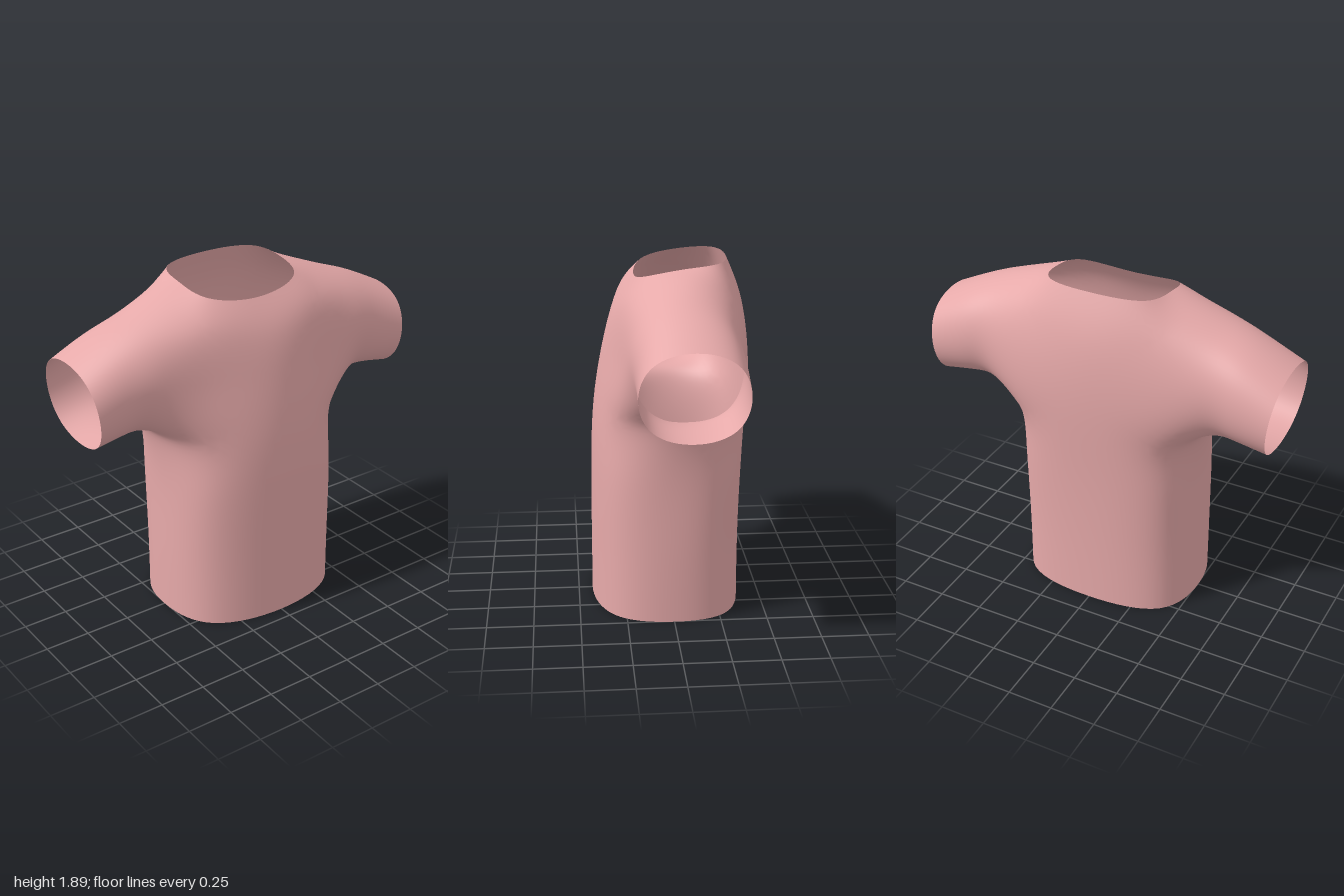
import * as THREE from 'three';

const V = (x, y, z) => new THREE.Vector3(x, y, z);

// One step of Catmull-Clark subdivision; the old vertices keep their indices.
function subdivide({ verts, faces }) {
  const n = verts.length, edges = new Map();
  const info = verts.map(() => ({ f: V(0, 0, 0), nf: 0, e: V(0, 0, 0), ne: 0, rim: V(0, 0, 0), nr: 0 }));
  const centres = faces.map(({ q }) => {
    const c = V(0, 0, 0);
    q.forEach(i => c.addScaledVector(verts[i], 0.25));
    q.forEach((a, k) => {
      const b = q[(k + 1) % 4], key = Math.min(a, b) + '_' + Math.max(a, b);
      if (!edges.has(key)) edges.set(key, { a, b, cs: [], id: n + edges.size });
      edges.get(key).cs.push(c);
      info[a].f.add(c);
      info[a].nf++;
    });
    return c;
  });
  const edgePoints = [];
  for (const { a, b, cs } of edges.values()) {
    const mid = verts[a].clone().add(verts[b]).multiplyScalar(0.5);
    for (const i of [a, b]) {
      info[i].e.add(mid);
      info[i].ne++;
      if (cs.length === 1) { info[i].rim.add(mid); info[i].nr++; }
    }
    edgePoints.push(cs.length === 1 ? mid : mid.clone().multiplyScalar(2).add(cs[0]).add(cs[1]).multiplyScalar(0.25));
  }
  const moved = verts.map((v, i) => {
    const p = info[i];
    if (p.nr) return v.clone().multiplyScalar(0.5).addScaledVector(p.rim, 0.25);
    return v.clone().multiplyScalar((p.ne - 3) / p.ne)
      .addScaledVector(p.f, 1 / (p.nf * p.ne)).addScaledVector(p.e, 2 / (p.ne * p.ne));
  });
  const edgeId = (a, b) => edges.get(Math.min(a, b) + '_' + Math.max(a, b)).id;
  const firstCentre = n + edges.size, out = [];
  faces.forEach(({ q, part }, f) => q.forEach((a, k) => out.push({
    q: [a, edgeId(a, q[(k + 1) % 4]), firstCentre + f, edgeId(q[(k + 3) % 4], a)], part
  })));
  return { verts: [...moved, ...edgePoints, ...centres], faces: out };
}

const refine = (cage, levels) => {
  for (let i = 0; i < levels; i++) cage = subdivide(cage);
  return cage;
};

// Coarse quad cage whose points lie on the finished surface.
function buildCage() {
  const verts = [], faces = [];
  const add = p => verts.push(p) - 1;

  // Half rings: front centre, front corner, side, back corner, back centre
  const rows = [
    [[0, 0, .425], [.39, 0, .32], [.506, 0, .02], [.405, 0, -.295], [0, 0, -.383]],
    [[0, .4, .424], [.39, .4, .32], [.506, .4, .02], [.405, .4, -.298], [0, .4, -.385]],
    [[0, .8, .42], [.39, .8, .317], [.504, .8, .01], [.405, .8, -.315], [0, .8, -.397]],
    [[0, 1.12, .4], [.395, 1.1, .302], [.545, 1.08, -.03], [.405, 1.1, -.345], [0, 1.12, -.417]],
    [[0, 1.4, .355], [.39, 1.4, .282], null, [.39, 1.4, -.385], [0, 1.4, -.424]],
    [[0, 1.63, .285], [.375, 1.705, .218], [.46, 1.825, -.06], [.385, 1.725, -.312], [0, 1.67, -.392]],
    [[0, 1.79, .18], [.272, 1.828, .125], [.325, 1.87, -.06], [.272, 1.889, -.255], [0, 1.895, -.308]]
  ];
  const grid = rows.map(r => [0, 1, 2, 3, 4, 3, 2, 1].map((c, j) =>
    r[c] ? add(V(j > 4 ? -r[c][0] : r[c][0], r[c][1], r[c][2])) : null));

  // Body, leaving an armhole on each side
  for (let r = 0; r < 6; r++) for (let j = 0; j < 8; j++) {
    const k = (j + 1) % 8;
    const q = [grid[r][j], grid[r][k], grid[r + 1][k], grid[r + 1][j]];
    if (!q.includes(null)) faces.push({ q, part: 'body' });
  }

  // Sleeves: eight-sided rings growing out of the armholes (top, low: fullness of the corners)
  const armhole = [[5, 2], [5, 1], [4, 1], [3, 1], [3, 2], [3, 3], [4, 3], [5, 3]];
  const rings = [
    { x: .635, y: 1.453, tilt: 0, ry: .305, z: -.049, rz: .287, top: 1.02, low: 1.07 },
    { x: .79, y: 1.426, tilt: .012, ry: .266, z: -.058, rz: .276, top: 1.03, low: 1.06 },
    { x: .975, y: 1.362, tilt: .025, ry: .232, z: -.057, rz: .274, top: 1.04, low: 1.04 }
  ];
  for (const side of [1, -1]) {
    let loop = armhole.map(([r, c]) => grid[r][side > 0 ? c : 8 - c]);
    for (const s of rings) {
      const outer = loop.map((_, k) => {
        const a = k * Math.PI / 4;
        const d = k % 2 ? (Math.cos(a) > 0 ? s.top : s.low) : 1;
        const c = Math.cos(a) * d;
        return add(V(side * (s.x + s.tilt * c), s.y + s.ry * c, s.z + s.rz * Math.sin(a) * d));
      });
      for (let k = 0; k < 8; k++) {
        const m = (k + 1) % 8, q = [loop[k], loop[m], outer[m], outer[k]];
        faces.push({ q: side > 0 ? q : q.reverse(), part: side > 0 ? 'leftSleeve' : 'rightSleeve' });
      }
      loop = outer;
    }
  }
  return { verts, faces };
}

export function createModel() {
  const group = new THREE.Group();
  group.name = 'shirt';

  // Push the cage outward until the smoothed surface passes through its points
  const cage = buildCage();
  const target = cage.verts.map(v => v.clone());
  for (let i = 0; i < 14; i++) {
    const smooth = refine(cage, 2).verts;
    cage.verts = cage.verts.map((v, k) => v.clone().add(target[k]).sub(smooth[k]));
  }
  const { verts, faces } = refine(cage, 3);

  // Shared smooth normals keep the sleeve seams invisible
  const triangles = list => list.flatMap(({ q: [a, b, c, d] }) => [a, b, c, a, c, d]);
  const whole = new THREE.BufferGeometry().setFromPoints(verts);
  whole.setIndex(triangles(faces));
  whole.computeVertexNormals();

  const cloth = new THREE.MeshStandardMaterial({ color: 0xe6a9a9, side: THREE.DoubleSide });
  for (const part of ['body', 'leftSleeve', 'rightSleeve']) {
    const piece = whole.clone();
    piece.setIndex(triangles(faces.filter(f => f.part === part)));
    const mesh = new THREE.Mesh(piece.toNonIndexed(), cloth);
    mesh.name = part;
    group.add(mesh);
  }
  return group;
}
